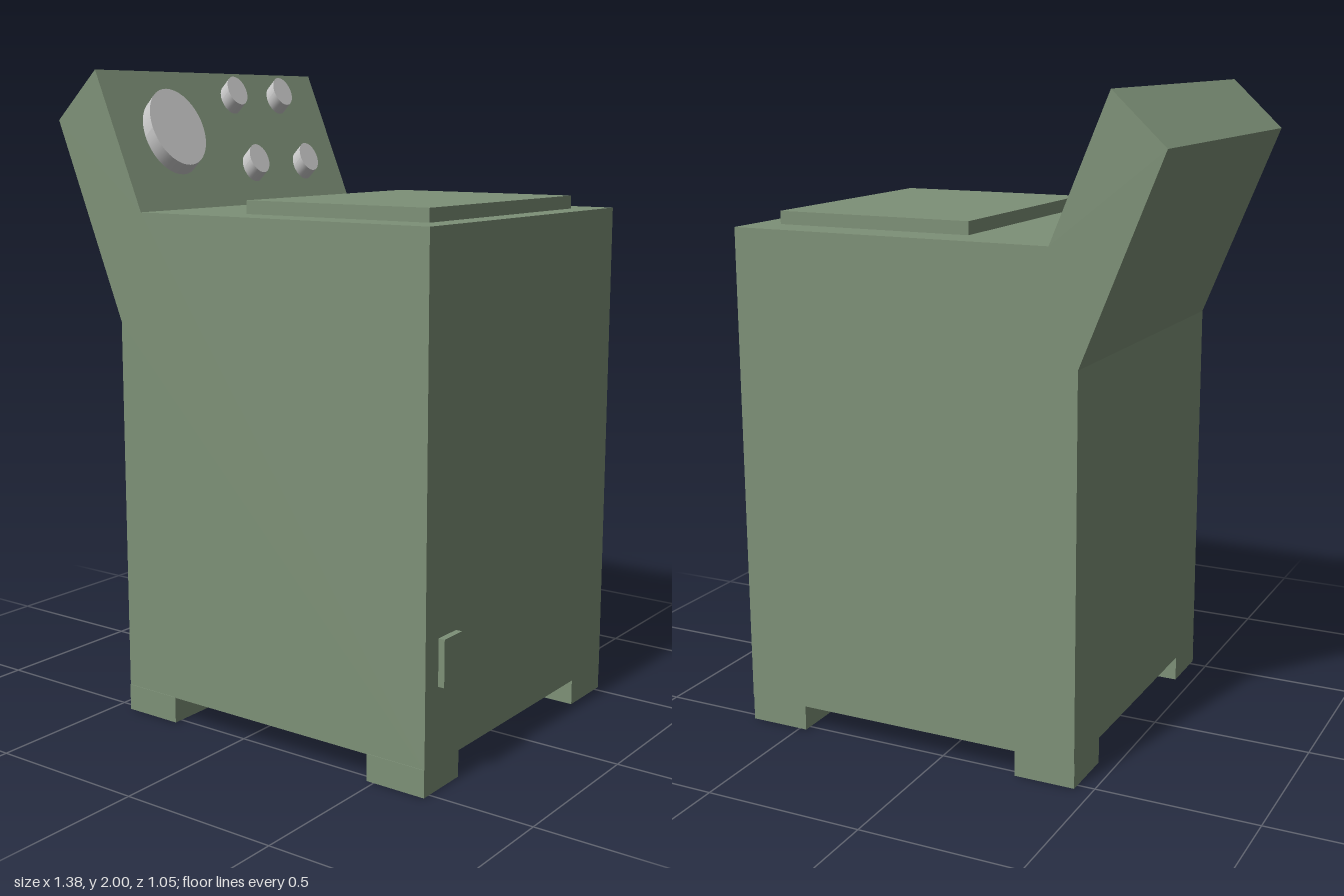
import * as THREE from 'three';

export function createModel() {
  const model = new THREE.Group();
  model.name = 'washingMachine';
  const green = new THREE.MeshStandardMaterial({ color: 0x7d9077 });
  green.name = 'sage green enamel';
  const grey = new THREE.MeshStandardMaterial({ color: 0xcccccc });
  grey.name = 'light grey knob';

  const add = (name, geometry, material) => {
    const mesh = new THREE.Mesh(geometry, material);
    mesh.name = name;
    model.add(mesh);
  };
  // Box given by its limits on each axis
  const box = (name, x0, x1, y0, y1, z0, z1) => {
    const g = new THREE.BoxGeometry(x1 - x0, y1 - y0, z1 - z0);
    g.translate((x0 + x1) / 2, (y0 + y1) / 2, (z0 + z1) / 2);
    add(name, g, green);
  };

  // Cabinet and leaning control panel: one side profile, extruded across the width
  const profile = new THREE.Shape([
    [-0.445, 0.08], [0.67, 0.08], [0.67, 1.58], [-0.355, 1.58],
    [-0.53, 2.0], [-0.69, 1.85], [-0.445, 1.245],
  ].map(([x, y]) => new THREE.Vector2(x, y)));
  const cabinet = new THREE.ExtrudeGeometry(profile, { depth: 1.052, bevelEnabled: false });
  cabinet.translate(0, 0, -0.527);
  add('cabinet', cabinet, green);

  // Four square feet
  for (const [x0, x1] of [[-0.445, -0.253], [0.476, 0.67]])
    for (const [z0, z1] of [[-0.525, -0.338], [0.348, 0.527]])
      box('foot', x0, x1, 0, 0.082, z0, z1);

  // Lid on top and small filter flap low on the side
  box('lid', -0.05, 0.587, 1.575, 1.62, -0.405, 0.4);
  box('filterFlap', 0.665, 0.69, 0.305, 0.445, 0.37, 0.46);

  // Knobs: discs sheared to lie along the sloping panel
  const slope = 0.175 / 0.42;
  const lift = 0.03;
  const knob = (name, y, z, radius) => {
    const g = new THREE.CylinderGeometry(radius, radius, lift, 40);
    g.rotateZ(-Math.PI / 2);
    g.translate(lift / 2, 0, 0);
    const p = g.attributes.position;
    for (let i = 0; i < p.count; i++) {
      const out = p.getX(i), up = p.getY(i);
      p.setXYZ(i, out - up * slope, up + out, p.getZ(i));
    }
    g.computeVertexNormals();
    g.translate(-0.355 - (y - 1.58) * slope, y, z);
    add(name, g, grey);
  };
  knob('programDial', 1.8, 0.284, 0.116);
  for (const [y, z] of [[1.915, -0.06], [1.915, -0.298], [1.697, -0.06], [1.697, -0.325]])
    knob('smallKnob', y, z, 0.045);

  return model;
}
